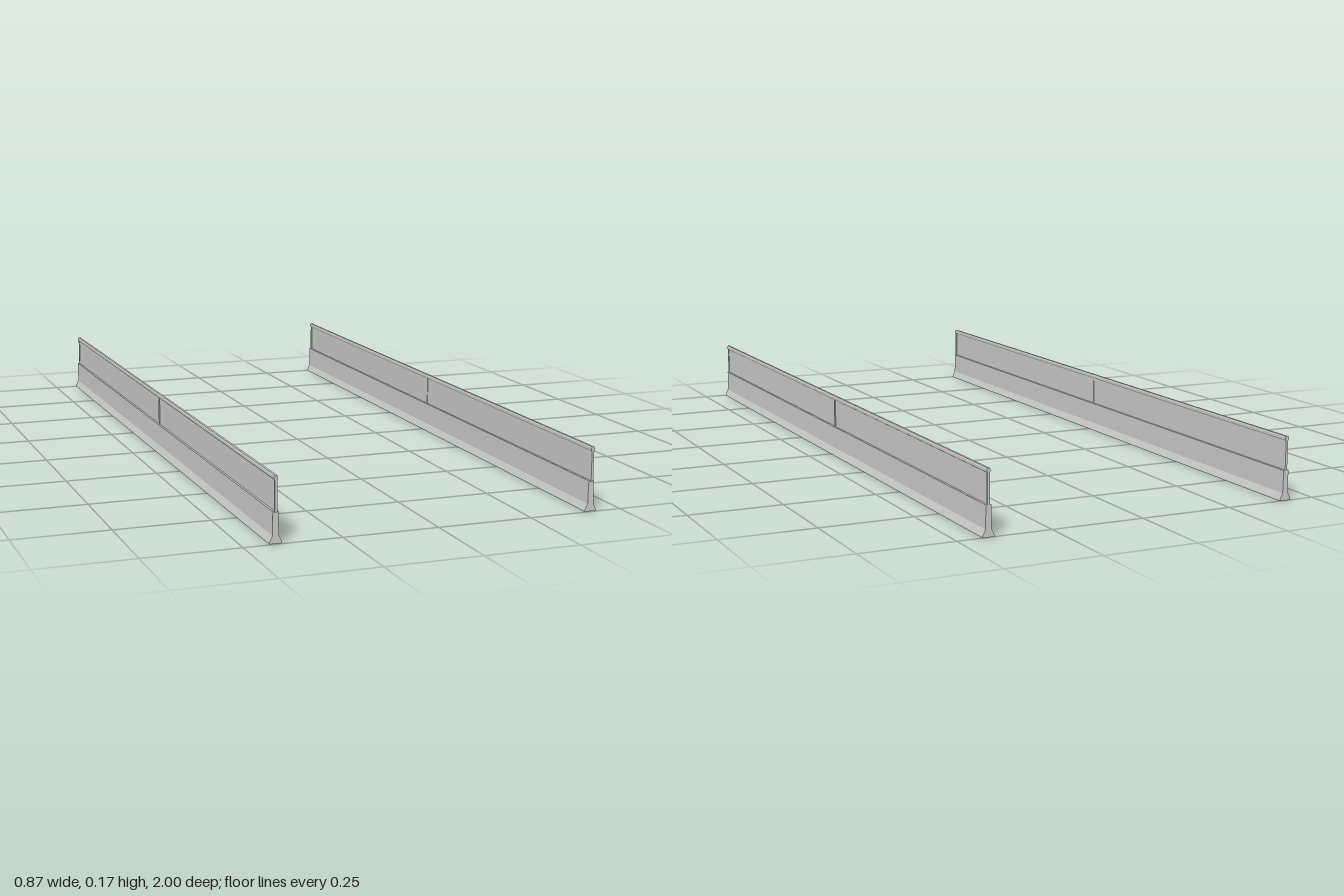
import * as THREE from 'three';

const material = new THREE.MeshStandardMaterial({ color: 0xcccccc, flatShading: true });

// Extrudes a symmetric cross-section, given as [half width, y] from bottom to top, along z
function extrudeProfile(name, half, z0, z1) {
  const right = half.map(([x, y]) => new THREE.Vector2(x, y));
  const left = half.map(([x, y]) => new THREE.Vector2(-x, y)).reverse();
  const geometry = new THREE.ExtrudeGeometry(new THREE.Shape([...right, ...left]), {
    depth: z1 - z0, bevelEnabled: false,
  });
  geometry.translate(0, 0, z0);
  const mesh = new THREE.Mesh(geometry, material);
  mesh.name = name;
  return mesh;
}

function box(name, w, h, d, y, z) {
  const mesh = new THREE.Mesh(new THREE.BoxGeometry(w, h, d), material);
  mesh.name = name;
  mesh.position.set(0, y, z);
  return mesh;
}

function createBarrier() {
  const barrier = new THREE.Group();

  // Solid lower wall with a flared foot
  barrier.add(extrudeProfile('baseWall',
    [[0.016, 0], [0.016, 0.003], [0.008, 0.02], [0.007, 0.079]], -1, 0.996));

  // Chamfered handrail
  barrier.add(extrudeProfile('handrail',
    [[0.003, 0.155], [0.005, 0.158], [0.005, 0.164], [0.003, 0.167]], -1, 1));

  // Posts at both ends and in the middle
  for (const z of [-0.996, 0, 0.996]) {
    barrier.add(box('post', 0.006, 0.08, 0.008, 0.117, z));
  }

  // Thin infill panels between the posts
  for (const z of [-0.498, 0.498]) {
    barrier.add(box('panel', 0.003, 0.08, 0.99, 0.117, z));
  }
  return barrier;
}

export function createModel() {
  const model = new THREE.Group();
  model.name = 'barrierPair';
  for (const side of [-1, 1]) {
    const barrier = createBarrier();
    barrier.name = side > 0 ? 'leftBarrier' : 'rightBarrier';
    barrier.position.x = side * 0.418;
    model.add(barrier);
  }
  return model;
}
